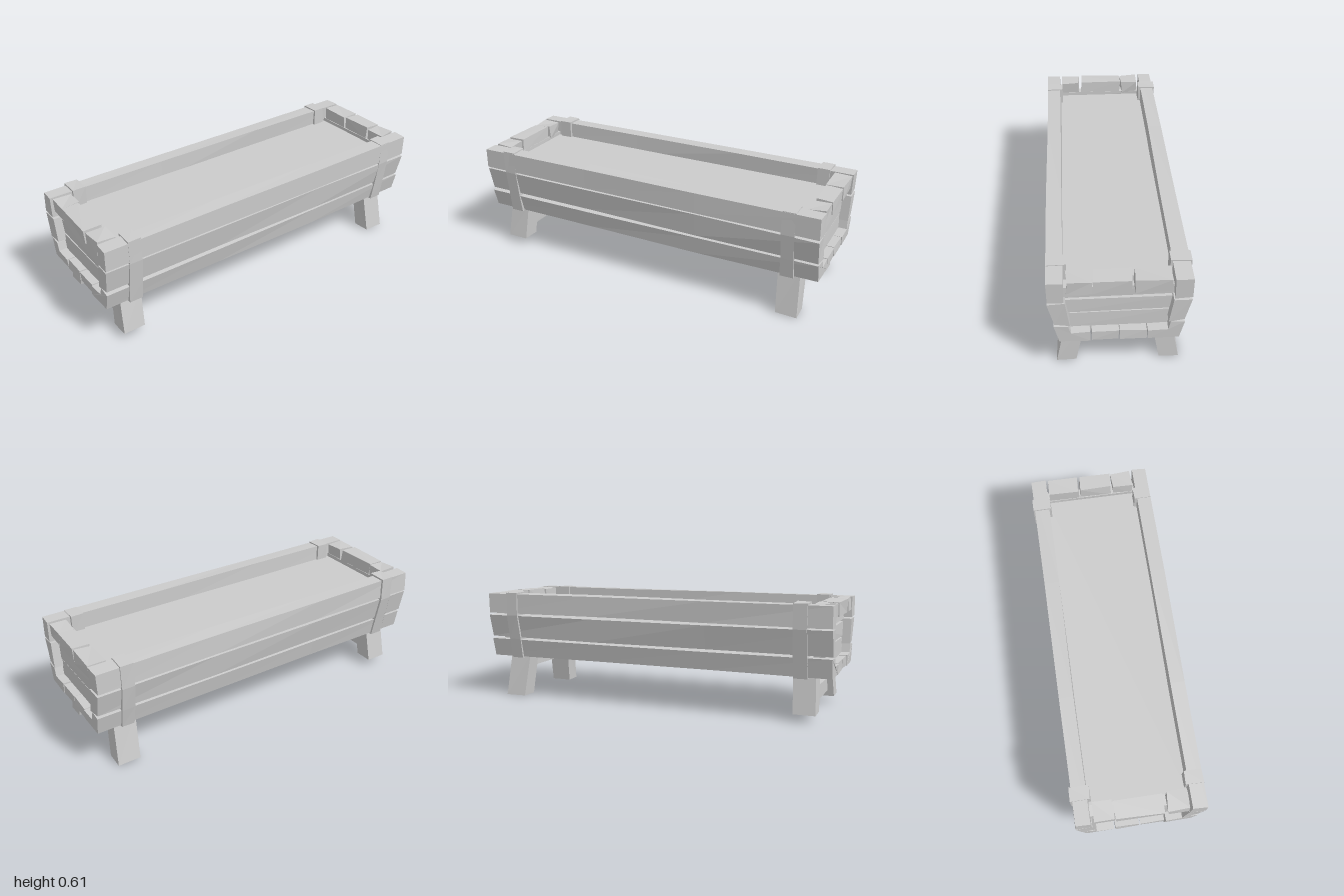
import * as THREE from 'three';

const wood = new THREE.MeshStandardMaterial({ color: 0xcccccc, flatShading: true });
const sheet = new THREE.MeshStandardMaterial({ color: 0xcccccc, side: THREE.DoubleSide });

// Repeatable wobble from -1 to 1, equal for coincident vertices
function wobble(x, y, z, seed) {
  const s = Math.sin(Math.round(x * 500) * 1.27 + Math.round(y * 500) * 3.11 + Math.round(z * 500) * 7.43 + seed * 5.7) * 4375.85;
  return (s - Math.floor(s)) * 2 - 1;
}

// Rough timber: a [z, y] cross-section drawn out along x
function timber(name, profile, x0, x1, { steps = 1, rough = 0.003, lean = 0 } = {}) {
  const shape = new THREE.Shape(profile.map(([z, y]) => new THREE.Vector2(-z, y)));
  const geo = new THREE.ExtrudeGeometry(shape, { depth: x1 - x0, steps, bevelEnabled: false });
  geo.rotateY(Math.PI / 2).translate(x0, 0, 0);
  const p = geo.attributes.position;
  for (let i = 0; i < p.count; i++) {
    const x = p.getX(i), y = p.getY(i), z = p.getZ(i);
    const nx = x + rough * wobble(x, y, z, 1) + lean * (0.23 - y);
    p.setXYZ(i, THREE.MathUtils.clamp(nx, -1, 1),
      Math.max(0, y + rough * 0.7 * wobble(x, y, z, 2)), z + rough * wobble(x, y, z, 3));
  }
  geo.computeVertexNormals();
  const mesh = new THREE.Mesh(geo, wood);
  mesh.name = name;
  return mesh;
}

const flip = (profile, s) => profile.map(([z, y]) => [z * s, y]);
const rect = (z0, z1, y0, y1) => [[z0, y0], [z1, y0], [z1, y1], [z0, y1]];

export function createModel() {
  const trough = new THREE.Group();
  trough.name = 'trough';

  // Long side planks, with L-shaped corner planks at the bottom
  const sidePlanks = {
    topPlank: [[0.257, 0.604], [0.335, 0.602], [0.336, 0.49], [0.255, 0.488]],
    middlePlank: [[0.252, 0.479], [0.333, 0.478], [0.309, 0.347], [0.235, 0.34]],
    cornerPlank: [[0.245, 0.336], [0.309, 0.333], [0.288, 0.232], [0.137, 0.232], [0.138, 0.288], [0.23, 0.29]],
  };
  for (const s of [1, -1]) {
    for (const [name, profile] of Object.entries(sidePlanks)) {
      trough.add(timber(name, flip(profile, s), -0.998, 0.998, { steps: 3, rough: 0.004 }));
    }
  }

  // Floor planks
  trough.add(timber('floorPlank', rect(0.004, 0.132, 0.234, 0.288), -0.995, 0.995, { steps: 2 }));
  trough.add(timber('floorPlank', rect(-0.132, -0.002, 0.232, 0.288), -0.995, 0.995, { steps: 2 }));

  // Recessed end walls
  for (const s of [1, -1]) {
    for (const [y0, y1] of [[0.285, 0.375], [0.385, 0.464], [0.478, 0.535]]) {
      const a = s * 0.895, b = s * 0.952;
      trough.add(timber('endPlank', rect(-0.262, 0.262, y0, y1), Math.min(a, b), Math.max(a, b)));
    }
  }

  // Rim blocks on the two ends
  const rimBlocks = (spans, x0, x1) => {
    for (const [z0, z1] of spans) {
      trough.add(timber('rimBlock', rect(z0, z1, 0.528, 0.601), x0, x1, { rough: 0.006 }));
    }
  };
  rimBlocks([[0.13, 0.243], [-0.06, 0.12], [-0.242, -0.072]], 0.9, 0.993);
  rimBlocks([[0.137, 0.243], [-0.128, 0.123], [-0.242, -0.14]], -0.993, -0.895);

  // Filling surface
  const fill = new THREE.Mesh(new THREE.PlaneGeometry(1.82, 0.52).rotateX(-Math.PI / 2), sheet);
  fill.name = 'filling';
  fill.position.y = 0.515;
  trough.add(fill);

  // Upright straps bridging the planks
  const frontStrap = [[0.243, 0.5], [0.243, 0.61], [0.336, 0.608], [0.337, 0.48], [0.317, 0.34], [0.302, 0.228], [0.24, 0.226]];
  const backStrap = [[-0.243, 0.5], [-0.243, 0.612], [-0.345, 0.61], [-0.347, 0.48], [-0.32, 0.34], [-0.297, 0.226], [-0.24, 0.226]];
  for (const x of [-0.838, 0.837]) {
    trough.add(timber('frontStrap', frontStrap, x - 0.035, x + 0.035, { rough: 0.002 }));
    trough.add(timber('backStrap', backStrap, x - 0.035, x + 0.035, { rough: 0.002 }));
  }

  // Splayed legs; the pair at one end is shorter
  for (const [x, foot, lean] of [[0.84, 0.003, 0.05], [-0.85, 0.042, -0.06]]) {
    for (const s of [1, -1]) {
      const spread = (0.24 - foot) / 0.24;
      const leg = [[0.163, 0.25], [0.257, 0.25], [0.257 + 0.05 * spread, foot], [0.163 + 0.045 * spread, foot]];
      trough.add(timber(s > 0 ? 'frontLeg' : 'backLeg', flip(leg, s), x - 0.06, x + 0.06, { lean }));
    }
  }

  // Cross bars between the legs
  trough.add(timber('crossBar', rect(-0.19, 0.19, 0.162, 0.226), 0.815, 0.87));
  trough.add(timber('crossBar', rect(-0.2, 0.2, 0.073, 0.148), -0.885, -0.83));

  return trough;
}
